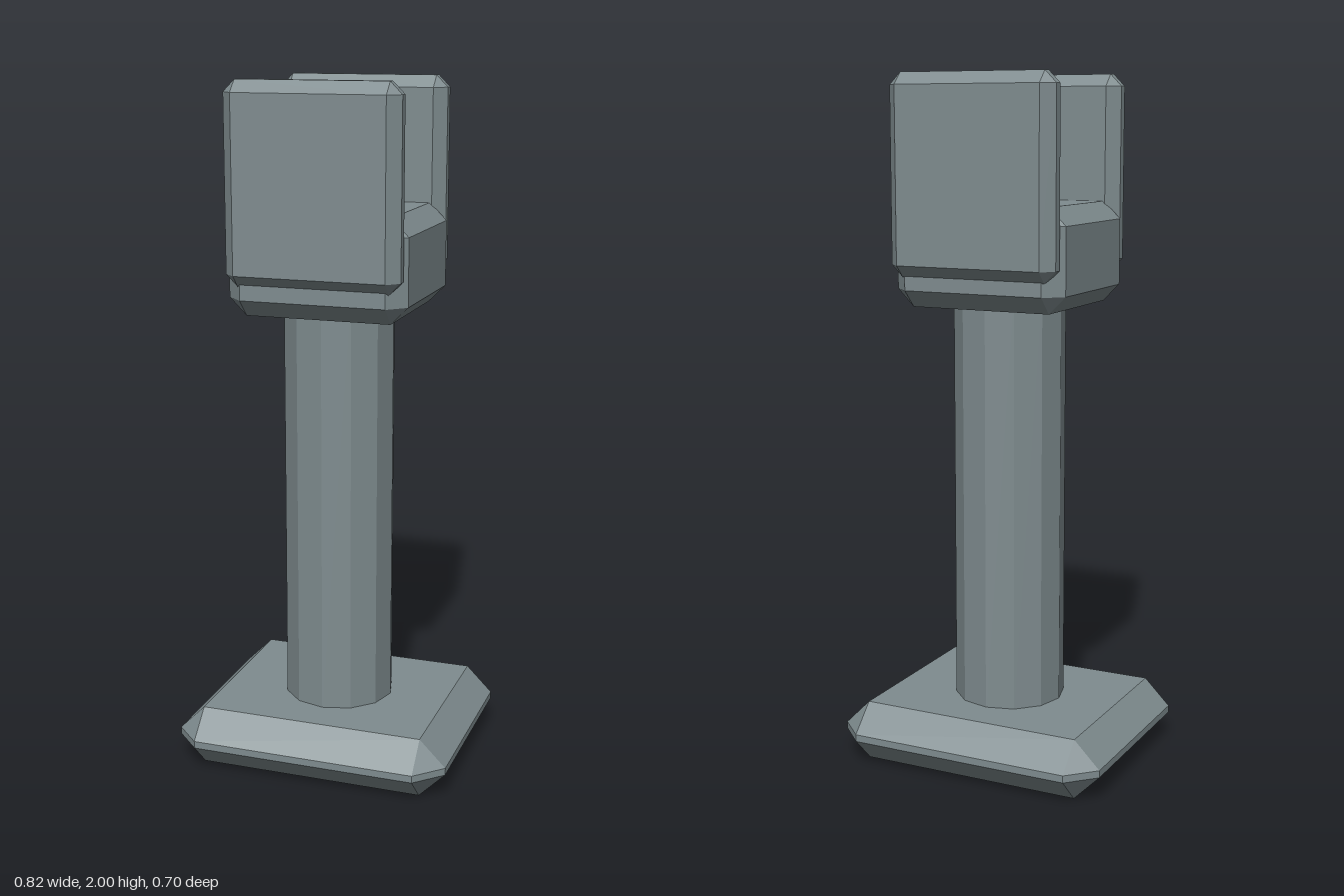
import * as THREE from 'three';
import { ConvexGeometry } from 'three/addons/geometries/ConvexGeometry.js';

// Box with every edge cut at 45 degrees and triangular corners
function bevelledBox(w, h, d, b) {
  const points = [];
  for (const sx of [-1, 1]) for (const sy of [-1, 1]) for (const sz of [-1, 1]) {
    const x = w / 2, y = h / 2, z = d / 2;
    points.push(
      new THREE.Vector3(sx * x, sy * (y - b), sz * (z - b)),
      new THREE.Vector3(sx * (x - b), sy * y, sz * (z - b)),
      new THREE.Vector3(sx * (x - b), sy * (y - b), sz * z)
    );
  }
  return new ConvexGeometry(points);
}

export function createModel() {
  const group = new THREE.Group();
  const metal = new THREE.MeshStandardMaterial({ color: 0x7f8c8f });
  metal.name = 'greyMetal';
  metal.flatShading = true;

  const add = (name, geometry, y, z = 0) => {
    const mesh = new THREE.Mesh(geometry, metal);
    mesh.name = name;
    mesh.position.set(0, y, z);
    group.add(mesh);
  };

  // Foot and twelve-sided post
  add('base', bevelledBox(0.82, 0.175, 0.7, 0.077), 0.0875);
  add('post', new THREE.CylinderGeometry(0.162, 0.162, 1.26, 12), 0.77);

  // Head block carrying two upright plates
  add('head', bevelledBox(0.522, 0.29, 0.482, 0.05), 1.495);
  const plate = bevelledBox(0.505, 0.562, 0.093, 0.034);
  add('frontPlate', plate, 1.719, 0.222);
  add('backPlate', plate, 1.719, -0.226);

  return group;
}
